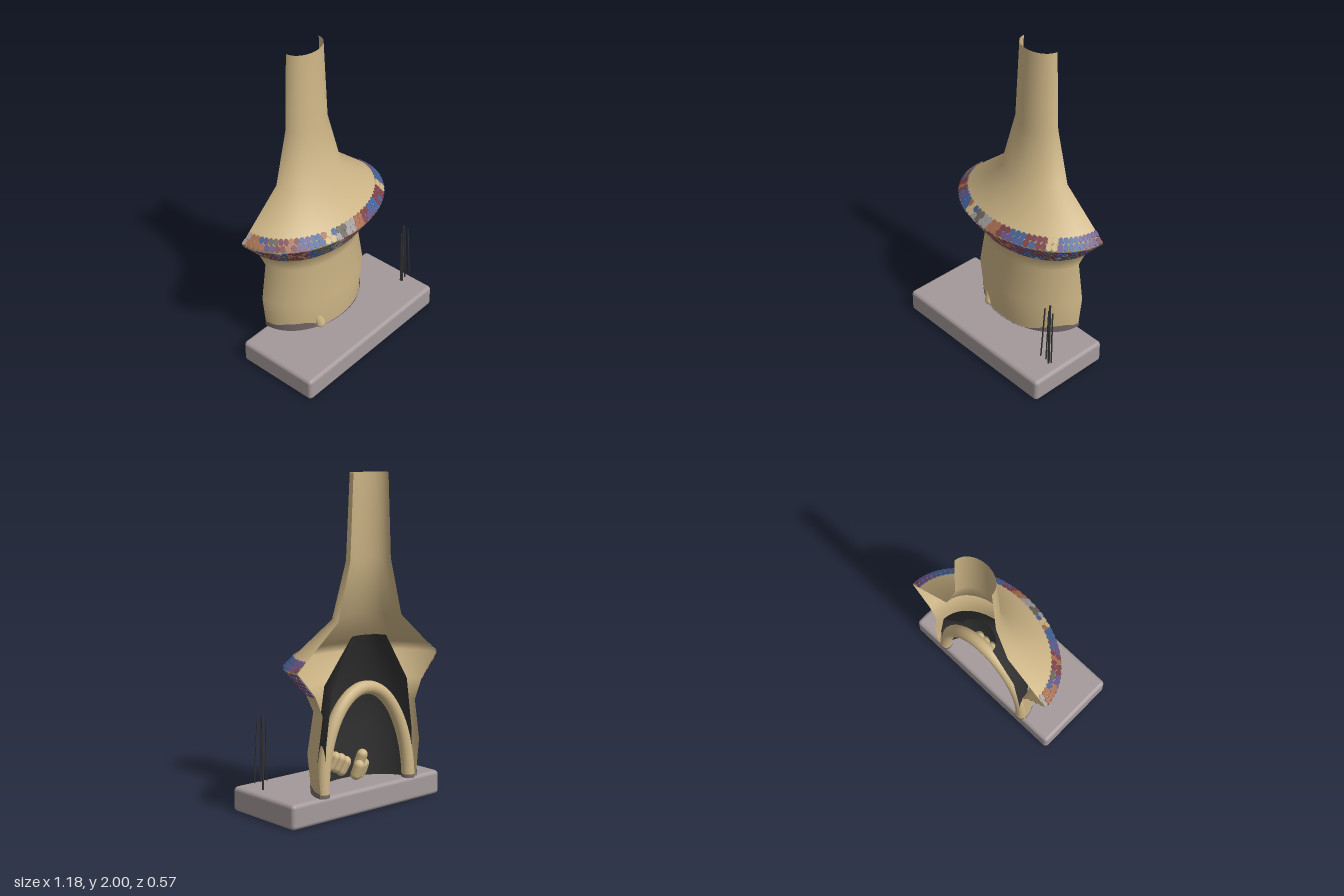
import * as THREE from 'three';
import { mergeGeometries } from 'three/addons/utils/BufferGeometryUtils.js';
import { RoundedBoxGeometry } from 'three/addons/geometries/RoundedBoxGeometry.js';

const BACK = -0.275; // cut plane of the half chimney
const SQUASH = 0.75; // depth to width ratio of the oval plan

function material(name, color, double = false) {
  const m = new THREE.MeshStandardMaterial({ color });
  m.name = name;
  if (double) m.side = THREE.DoubleSide;
  return m;
}

function halfLathe(points, segments = 64) {
  const g = new THREE.LatheGeometry(points.map(p => new THREE.Vector2(...p)), segments, -Math.PI / 2, Math.PI);
  g.scale(1, 1, SQUASH);
  g.translate(0, 0, BACK);
  return g;
}

function seeded(seed) {
  return () => {
    seed = (seed * 16807) % 2147483647;
    return seed / 2147483647;
  };
}

export function createModel() {
  const root = new THREE.Group();
  const clay = material('clay', 0xcdb586, true);
  const soot = material('soot black', 0x323232, true);
  const stone = material('grey stone', 0xa4999a);
  const ash = material('dark ash', 0x776c6d, true);
  const tileMats = [
    material('tile blue', 0x456298),
    material('tile maroon', 0x7c434c),
    material('tile terracotta', 0xa66c50),
    material('tile violet', 0x655588),
    material('tile umber', 0x6a645d),
    material('tile pale grey', 0xa09a9a),
    clay,
  ];

  const add = (name, geometry, mat, parent = root) => {
    const mesh = new THREE.Mesh(geometry, mat);
    mesh.name = name;
    parent.add(mesh);
    return mesh;
  };

  // Hearth slab
  const slab = add('hearthSlab', new RoundedBoxGeometry(1.185, 0.15, 0.56, 4, 0.025), stone);
  slab.position.set(0, 0.075, 0.005);

  // Half chimney shell, open at the back
  add('chimneyShell', halfLathe([
    [0.385, 0.15], [0.41, 0.38], [0.37, 0.63], [0.425, 0.75], [0.556, 0.9],
    [0.487, 0.96], [0.25, 1.16], [0.16, 1.5], [0.137, 2],
  ]), clay);

  // Sooty firebox lining
  add('fireboxLining', halfLathe([[0.345, 0.15], [0.345, 0.45], [0.30, 0.77], [0.125, 1.05]]), soot);

  // Uneven ash stain round the foot of the shell
  const stain = halfLathe([[0.389, 0.15], [0.395, 0.2]], 96);
  const sp = stain.attributes.position;
  for (let i = 0; i < sp.count; i++) {
    if (sp.getY(i) < 0.16) continue;
    const x = sp.getX(i);
    const rise = x < 0
      ? 0.058 * THREE.MathUtils.smoothstep(-x, 0.12, 0.27) - 0.02 * THREE.MathUtils.smoothstep(-x, 0.34, 0.39)
      : 0.05 * THREE.MathUtils.smoothstep(x, 0.14, 0.36) - 0.02 * THREE.MathUtils.smoothstep(x, 0.375, 0.395);
    sp.setY(i, 0.152 + rise);
  }
  add('ashStain', stain, ash);

  // Rounded arch around the fire opening, leaning slightly forward
  const archPoints = [];
  for (let i = 0; i <= 24; i++) {
    const t = Math.PI * i / 24;
    archPoints.push(new THREE.Vector3(0.345 * Math.cos(t), 0.15 + 0.595 * Math.sin(t), -0.247 + 0.022 * Math.sin(t)));
  }
  add('fireArch', new THREE.TubeGeometry(new THREE.CatmullRomCurve3(archPoints), 80, 0.04, 16), clay);
  for (const s of [-1, 1]) {
    const foot = add(s > 0 ? 'leftArchFoot' : 'rightArchFoot', new THREE.CylinderGeometry(0.041, 0.041, 0.022, 16), ash);
    foot.position.set(s * 0.345, 0.158, -0.247);
  }

  // Mosaic band: hexagonal tiles laid in staggered rows on both slopes of the rim
  const random = seeded(77);
  const batches = tileMats.map(() => []);
  // colour pairs of each patch, from the right side round to the left side
  const upperPatches = '25 22 23 31 12 35 00 06 45 55 22 13 00 01 11 60 00 00 33 31'.split(' ');
  const lowerPatches = '14 21 41 40 12 21 04 04 45 42 21 21 13 01 10 14 01 40 13 33'.split(' ');
  const layRows = (r0, y0, r1, y1, rows, patches) => {
    const count = 44;
    const length = Math.hypot(r1 - r0, y1 - y0);
    for (let row = 0; row < rows; row++) {
      const f = (row + 0.5) / rows;
      const r = r0 + (r1 - r0) * f;
      const y = y0 + (y1 - y0) * f;
      for (let i = 0; i < count; i++) {
        const k = (i + (row % 2 ? 0.7 : 0.3)) / count;
        const a = -Math.PI / 2 + Math.PI * k;
        const u = new THREE.Vector3(r * Math.cos(a), 0, -SQUASH * r * Math.sin(a));
        const step = u.length() * Math.PI / count;
        u.normalize();
        const v = new THREE.Vector3((r1 - r0) * Math.sin(a), y1 - y0, SQUASH * (r1 - r0) * Math.cos(a)).normalize();
        const n = new THREE.Vector3().crossVectors(u, v).normalize();
        v.crossVectors(n, u);
        const g = new THREE.CylinderGeometry(1, 1, 1, 6);
        g.rotateX(Math.PI / 2);
        g.rotateZ((random() - 0.5) * 0.7);
        g.scale(step * 0.56, length / rows * 0.56, 0.004);
        g.applyMatrix4(new THREE.Matrix4().makeBasis(u, v, n).setPosition(
          r * Math.sin(a) + n.x * 0.005, y + n.y * 0.005, BACK + SQUASH * r * Math.cos(a) + n.z * 0.005));
        // trim the end tiles flush with the cut plane
        const p = g.attributes.position;
        for (let j = 0; j < p.count; j++) p.setZ(j, Math.max(p.getZ(j), BACK));
        const pair = patches[Math.floor(k * patches.length)];
        const pick = random();
        batches[pick < 0.92 ? +pair[pick < 0.46 ? 0 : 1] : Math.floor(random() * 6)].push(g);
      }
    }
  };
  layRows(0.425, 0.75, 0.556, 0.9, 6, lowerPatches);
  layRows(0.556, 0.9, 0.491, 0.957, 2, upperPatches);
  const band = new THREE.Group();
  band.name = 'mosaicBand';
  root.add(band);
  batches.forEach((list, i) => add(`mosaicTiles${i + 1}`, mergeGeometries(list), tileMats[i], band));

  // Firewood: short rounded logs leaning inside the firebox
  const logs = [
    [0.18, 0.315, -0.1], [0.135, 0.295, -0.095], [0.085, 0.275, -0.09], [0.04, 0.25, -0.085],
    [-0.06, 0.21, -0.1], [-0.1, 0.27, -0.085], [-0.11, 0.2, -0.07], [-0.165, 0.195, -0.03],
  ];
  const woodpile = new THREE.Group();
  woodpile.name = 'woodpile';
  root.add(woodpile);
  logs.forEach(([x, y, z], i) => {
    const log = add(`log${i + 1}`, new THREE.CapsuleGeometry(0.034, 0.06, 5, 12), clay, woodpile);
    log.position.set(x, y, z);
    log.rotation.set(-0.3, 0, i < 4 ? 0.35 : 0.15);
  });

  // Fire irons: a post with three hanging tools
  const irons = new THREE.Group();
  irons.name = 'fireIrons';
  root.add(irons);
  const rod = (name, from, to, radius) => {
    const a = new THREE.Vector3(...from), b = new THREE.Vector3(...to);
    const mesh = add(name, new THREE.CylinderGeometry(radius, radius, a.distanceTo(b), 8), soot, irons);
    mesh.position.addVectors(a, b).multiplyScalar(0.5);
    mesh.quaternion.setFromUnitVectors(new THREE.Vector3(0, 1, 0), b.sub(a).normalize());
  };
  rod('ironPost', [0.508, 0.15, 0.102], [0.508, 0.6, 0.102], 0.007);
  for (const s of [-1, 0, 1]) {
    rod('ironTool', [0.508 + s * 0.045, 0.195, 0.125], [0.508 + s * 0.032, 0.565, 0.111], 0.0045);
  }
  return root;
}
